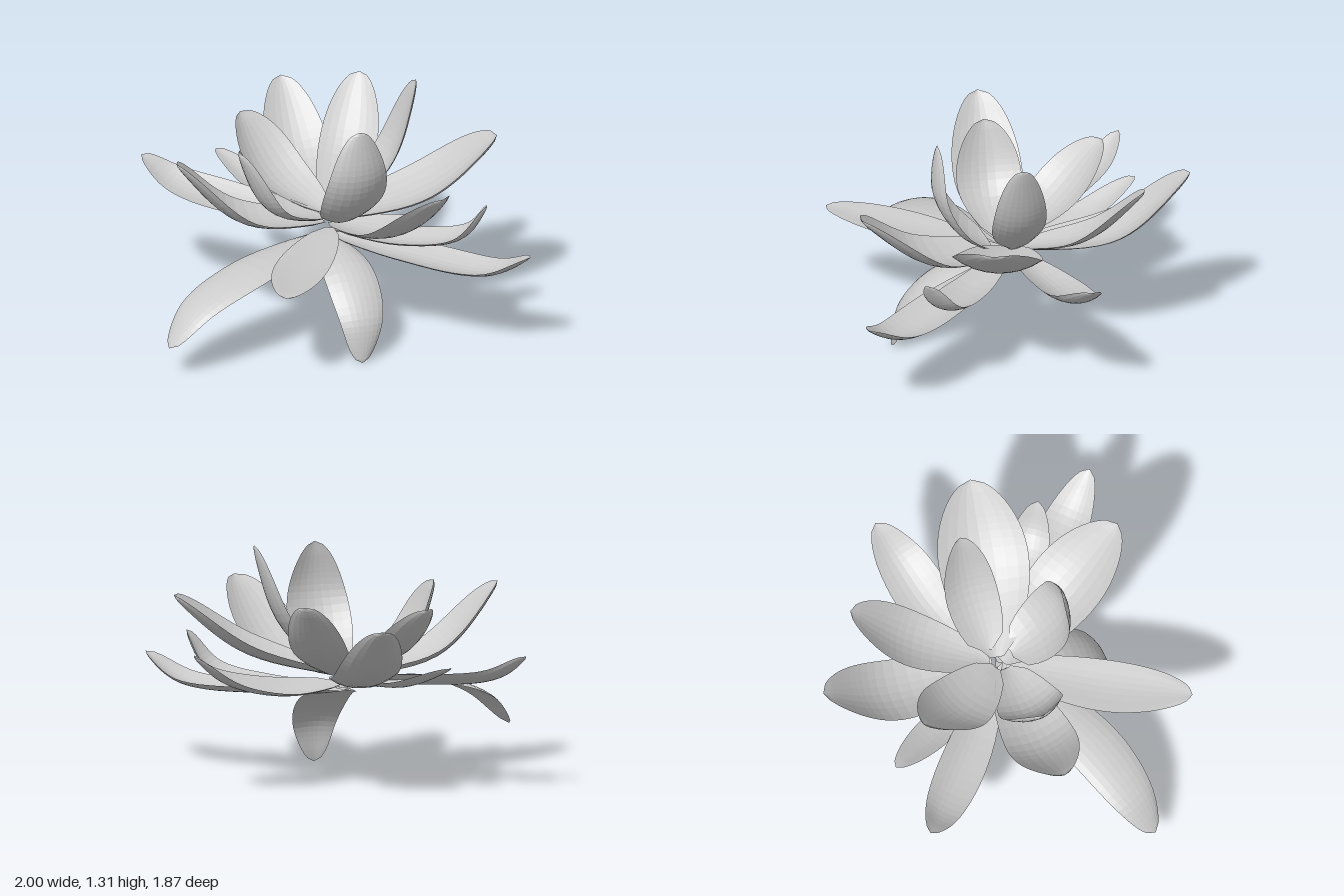
import * as THREE from 'three';

const material = new THREE.MeshStandardMaterial({ color: 0xcccccc, flatShading: true, side: THREE.DoubleSide });

// Petal outline: narrow base and blunt rounded tip; a larger skew moves the widest point outward
const outline = (t, skew) => Math.pow(Math.max(0, Math.sin(Math.PI * Math.pow(t, skew))), 0.52) + 0.15 * (1 - t) ** 3;

// Thin cupped shell swept along a curve from base to tip; roll raises one edge
function petalGeometry({ path, width, cup = 0.3, skew = 1.2, roll = 0 }) {
  const thickness = 0.014;
  const points = path.map((p) => new THREE.Vector3(...p));
  const spine = new THREE.CatmullRomCurve3(points);
  const out = points[points.length - 1].clone().sub(points[0]).setY(0).normalize();
  const level = out.cross(new THREE.Vector3(0, 1, 0)).normalize();
  const rows = 20, cols = 8, ring = cols * 2;
  const pos = [], index = [];
  for (let i = 0; i <= rows; i++) {
    const s = i / rows;
    const t = 0.5 * s + 0.5 * (1 - (1 - s) ** 3); // rows gather at the tip
    const p = spine.getPointAt(t);
    const tangent = spine.getTangentAt(t);
    const side = level.clone().applyAxisAngle(tangent, -roll);
    const normal = side.clone().cross(tangent).normalize();
    const spread = outline(t, skew), half = width / 2 * spread;
    for (let j = 0; j < ring; j++) {
      const top = j <= cols;
      const u = (top ? j : ring - j) / cols * 2 - 1;
      const lift = cup * half * (u * u - 0.35) + (top ? 0.5 : -0.5) * thickness * (1 - u ** 4) * Math.min(1, spread * 2);
      const q = p.clone().addScaledVector(side, u * half).addScaledVector(normal, lift);
      pos.push(q.x, q.y, q.z);
      if (i < rows) {
        const k = i * ring + j, n = i * ring + (j + 1) % ring;
        index.push(k, n, k + ring, n, n + ring, k + ring);
      }
    }
  }
  const g = new THREE.BufferGeometry();
  g.setAttribute('position', new THREE.Float32BufferAttribute(pos, 3));
  g.setIndex(index);
  g.computeVertexNormals();
  return g;
}

const whorls = {
  innerPetal: [
    { path: [[0.10, 0.59, 0.13], [0.11, 0.74, 0.31], [0.11, 0.95, 0.42], [0.11, 1.24, 0.42]], width: 0.35, skew: 0.9 },
    { path: [[0.16, 0.60, 0.02], [0.42, 0.90, 0.02], [0.57, 1.31, 0.03]], width: 0.28, skew: 0.9 },
    { path: [[0.05, 0.61, 0.02], [-0.12, 0.74, -0.26], [-0.23, 1.01, -0.52]], width: 0.36, cup: 0.35 },
    { path: [[0.03, 0.60, 0.07], [-0.27, 0.72, 0.08], [-0.45, 1.06, 0.08]], width: 0.35, cup: 0.35 },
  ],
  middlePetal: [
    { path: [[0.08, 0.57, 0.00], [0.12, 0.65, -0.55], [0.15, 0.98, -0.94]], width: 0.35 },
    { path: [[0.10, 0.58, 0.00], [0.32, 0.75, -0.36], [0.49, 1.08, -0.64]], width: 0.31 },
    { path: [[0.04, 0.57, 0.05], [-0.44, 0.68, 0.06], [-0.80, 1.04, 0.06]], width: 0.37 },
    { path: [[0.11, 0.59, 0.05], [0.58, 0.74, 0.17], [0.95, 1.02, 0.25]], width: 0.48 },
    { path: [[0.08, 0.57, 0.07], [0.29, 0.67, 0.50], [0.42, 1.00, 0.88]], width: 0.41 },
  ],
  outerPetal: [
    { path: [[0.10, 0.54, 0.00], [0.50, 0.55, -0.15], [0.80, 0.63, -0.22], [1.00, 0.78, -0.28]], width: 0.29, roll: 0.2 },
    { path: [[0.04, 0.57, 0.02], [-0.30, 0.58, -0.28], [-0.59, 0.64, -0.56], [-0.73, 0.76, -0.69]], width: 0.25, roll: 0.25 },
    { path: [[0.05, 0.56, 0.02], [-0.14, 0.59, -0.39], [-0.30, 0.72, -0.71]], width: 0.19 },
    { path: [[0.07, 0.53, 0.06], [-0.25, 0.54, 0.52], [-0.49, 0.58, 0.93]], width: 0.29, cup: 0.15 },
    { path: [[0.10, 0.52, 0.06], [0.42, 0.51, 0.30], [0.67, 0.58, 0.48], [0.78, 0.77, 0.57]], width: 0.24 },
    { path: [[0.08, 0.49, 0.05], [0.40, 0.46, 0.38], [0.74, 0.47, 0.74], [0.90, 0.60, 0.92]], width: 0.28 },
  ],
  droopingPetal: [
    { path: [[0.09, 0.51, 0.06], [-0.50, 0.48, 0.34], [-0.83, 0.36, 0.45], [-1.00, 0.18, 0.50]], width: 0.30, cup: -0.12 },
    { path: [[0.05, 0.49, 0.05], [0.06, 0.42, 0.39], [0.06, 0.23, 0.60], [0.04, 0.00, 0.66]], width: 0.28, cup: -0.2, skew: 1.0 },
  ],
};

export function createModel() {
  const flower = new THREE.Group();
  flower.name = 'flower';
  for (const [name, petals] of Object.entries(whorls)) {
    const whorl = new THREE.Group();
    whorl.name = name + 's';
    petals.forEach((spec, i) => {
      const petal = new THREE.Mesh(petalGeometry(spec), material);
      petal.name = name + (i + 1);
      whorl.add(petal);
    });
    flower.add(whorl);
  }
  return flower;
}
